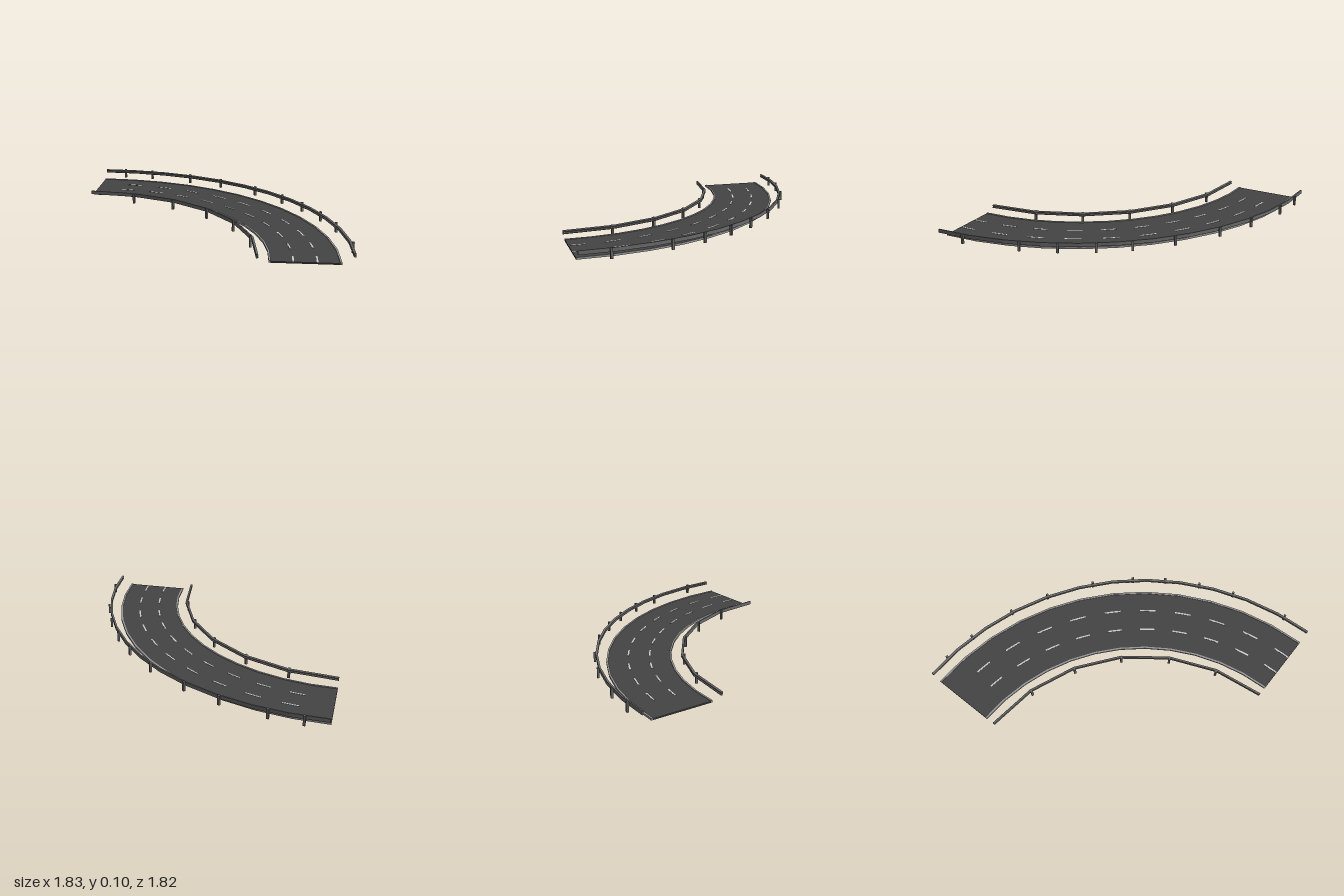
import * as THREE from 'three';

const CZ = 0.907; // z of the bend's centre
const rad = THREE.MathUtils.degToRad;
const mat = (color) => new THREE.MeshStandardMaterial({ color, flatShading: true, side: THREE.DoubleSide });
const asphalt = mat(0x444444);
const steel = mat(0x6c6c6c);
const paint = mat(0xcccccc);
const curbGrey = mat(0x999999);

// Point at radius r, height y and bend angle a (0 = left-hand road end, 90 = front end)
function polar(cx, r, y, a) {
  return [cx + r * Math.sin(rad(a)), y, CZ - r * Math.cos(rad(a))];
}

// Sweeps a closed counter-clockwise [radius, height] profile around the bend
function sweep(name, profile, from, to, segments, material, cx = -1) {
  const pos = [];
  const n = profile.length;
  const point = (j, a) => polar(cx, profile[j % n][0], profile[j % n][1], a);
  for (let i = 0; i < segments; i++) {
    const a0 = from + (to - from) * i / segments;
    const a1 = from + (to - from) * (i + 1) / segments;
    for (let j = 0; j < n; j++) {
      const A = point(j, a0), B = point(j + 1, a0), C = point(j + 1, a1), D = point(j, a1);
      pos.push(...A, ...B, ...C, ...A, ...C, ...D);
    }
  }
  // End caps
  const contour = profile.map(([r, y]) => new THREE.Vector2(r, y));
  for (const [i, j, k] of THREE.ShapeUtils.triangulateShape(contour, [])) {
    pos.push(...point(i, to), ...point(j, to), ...point(k, to));
    pos.push(...point(k, from), ...point(j, from), ...point(i, from));
  }
  const geometry = new THREE.BufferGeometry();
  geometry.setAttribute('position', new THREE.Float32BufferAttribute(pos, 3));
  geometry.computeVertexNormals();
  const mesh = new THREE.Mesh(geometry, material);
  mesh.name = name;
  return mesh;
}

const rect = (r0, r1, y0, y1) => [[r0, y0], [r1, y0], [r1, y1], [r0, y1]];

// Two-ridged guardrail section; side is +1 when the road lies towards larger radii
function railProfile(r, y0, y1, side) {
  const h = y1 - y0, back = r - side * 0.007, front = r + side * 0.007;
  const p = [
    [back, y0], [r, y0], [front, y0 + h * 0.15], [front, y0 + h * 0.3], [r, y0 + h * 0.5],
    [front, y0 + h * 0.7], [front, y0 + h * 0.85], [r, y1], [back, y1],
  ];
  return side > 0 ? p : p.reverse();
}

function addPosts(group, angles, r, y0, y1, cx = -1) {
  const geometry = new THREE.BoxGeometry(0.015, y1 - y0, 0.014);
  angles.forEach((a, i) => {
    const post = new THREE.Mesh(geometry, steel);
    post.position.set(...polar(cx, r, (y0 + y1) / 2, a));
    post.rotation.y = -rad(a);
    post.name = `post${i + 1}`;
    group.add(post);
  });
}

export function createModel() {
  const model = new THREE.Group();
  model.name = 'curvedRoad';

  // Road slab and raised edges
  model.add(sweep('roadway', rect(1.34, 1.74, 0.022, 0.031), 0, 90, 12, asphalt));
  model.add(sweep('outerEdge', rect(1.74, 1.752, 0.022, 0.035), 0, 90, 12, curbGrey));
  model.add(sweep('innerEdge', rect(1.328, 1.34, 0.022, 0.035), 0, 90, 12, curbGrey));

  // Dashed lane lines
  const lanes = new THREE.Group();
  lanes.name = 'laneMarkings';
  for (const r of [1.47, 1.61]) {
    for (let i = 0; i < 10; i++) {
      const a = 7.3 + i * 8.75;
      lanes.add(sweep('dash', rect(r - 0.005, r + 0.005, 0.03, 0.0325), a, a + 3.9, 2, paint));
    }
  }
  model.add(lanes);

  // Outer guardrail, with posts behind it
  const outer = new THREE.Group();
  outer.name = 'outerGuardrail';
  outer.add(sweep('outerRail', railProfile(1.803, 0.07, 0.095, -1), -0.57, 90, 12, steel, -0.982));
  addPosts(outer, [4.2, 11.1, 21.3, 29.9, 40.3, 49.2, 56.4, 64, 71.7, 84], 1.815, 0.032, 0.098, -0.982);
  model.add(outer);

  // Lower inner guardrail, with a post at each joint
  const inner = new THREE.Group();
  inner.name = 'innerGuardrail';
  inner.add(sweep('innerRail', railProfile(1.262, 0.046, 0.071, 1), 0, 90, 6, steel));
  addPosts(inner, [15, 30, 45, 60, 75], 1.249, 0, 0.071);
  model.add(inner);

  return model;
}
